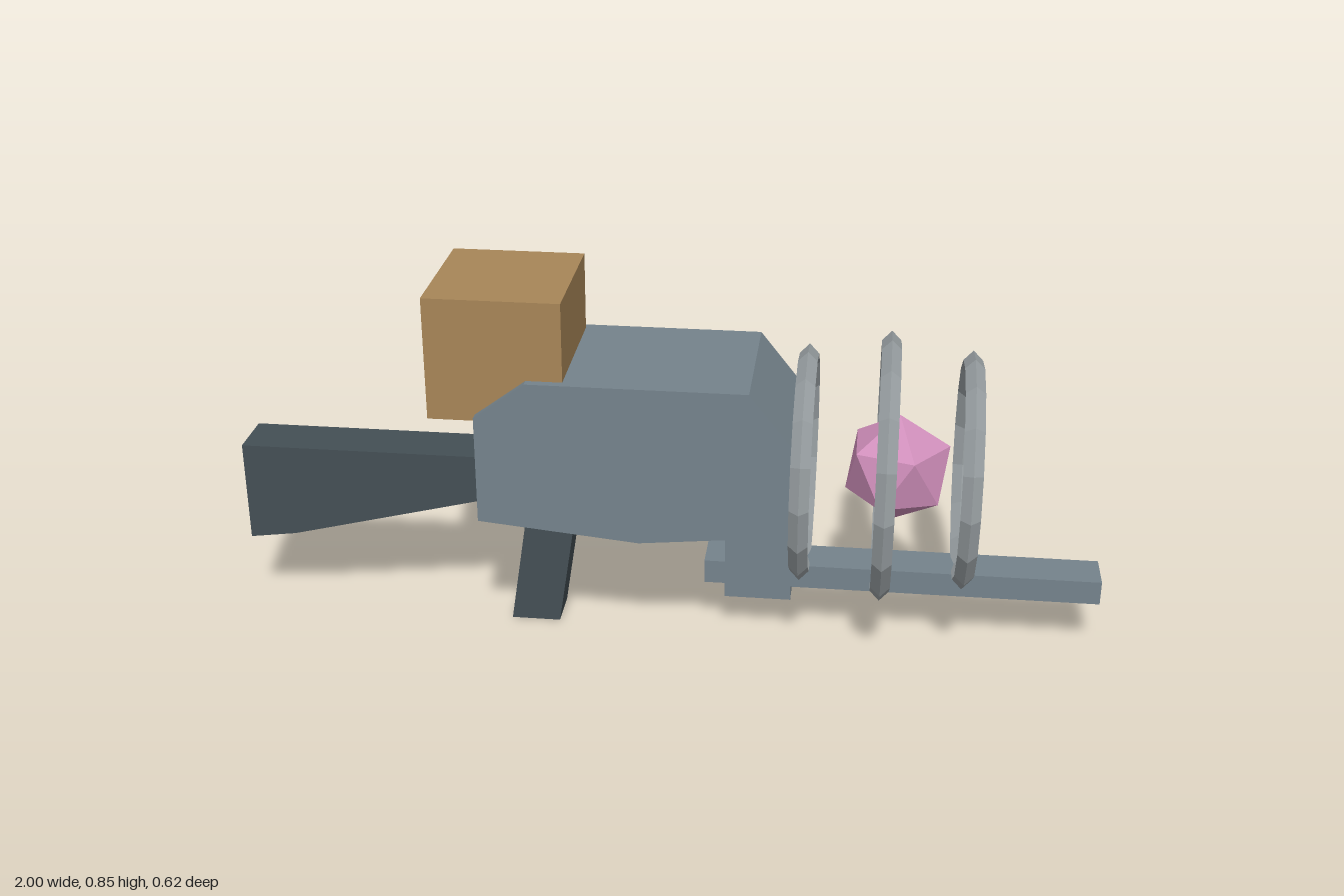
import * as THREE from 'three';

const paint = (color) => new THREE.MeshStandardMaterial({ color, flatShading: true });
const slate = paint(0x75838c);
const dark = paint(0x444f55);
const tan = paint(0xa88658);
const steel = paint(0x9ca3a6);
const pink = paint(0xd08fbb);

export function createModel() {
  const model = new THREE.Group();

  const add = (name, geometry, material, x = 0, y = 0, z = 0) => {
    const mesh = new THREE.Mesh(geometry, material);
    mesh.name = name;
    mesh.position.set(x, y, z);
    model.add(mesh);
    return mesh;
  };

  // Side profile in x, y extruded evenly about z = 0
  const slab = (name, points, width, material) => {
    const shape = new THREE.Shape(points.map(([x, y]) => new THREE.Vector2(x, y)));
    const geometry = new THREE.ExtrudeGeometry(shape, { depth: width, bevelEnabled: false });
    return add(name, geometry.translate(0, 0, -width / 2), material);
  };

  // Box given by its x and y limits
  const block = (name, x0, x1, y0, y1, width, material) =>
    add(name, new THREE.BoxGeometry(x1 - x0, y1 - y0, width), material, (x0 + x1) / 2, (y0 + y1) / 2);

  // Receiver, stock and grip
  slab('body', [[-0.417, 0.33], [-0.05, 0.295], [0.29, 0.33], [0.29, 0.55],
    [0.193, 0.672], [-0.3, 0.672], [-0.417, 0.585]], 0.37, slate);
  slab('stock', [[-1, 0.19], [-0.89, 0.205], [-0.39, 0.33], [-0.39, 0.43], [-1, 0.43]], 0.125, dark);
  slab('grip', [[-0.375, 0.002], [-0.26, 0.002], [-0.21, 0.33], [-0.325, 0.33]], 0.1, dark);

  // Trigger and its guard
  slab('triggerGuard', [[-0.23, 0.218], [-0.028, 0.218], [-0.016, 0.305], [-0.026, 0.305],
    [-0.037, 0.23], [-0.23, 0.23]], 0.03, dark);
  slab('trigger', [[-0.155, 0.265], [-0.146, 0.265], [-0.152, 0.315], [-0.166, 0.315]], 0.02, tan);

  // Crate on the rear of the body
  block('topBox', -0.525, -0.218, 0.57, 0.855, 0.33, tan);

  // Rail under the rings and the bracket that holds it
  block('railMount', 0.135, 0.29, 0.095, 0.335, 0.104, slate);
  block('rail', 0.087, 1, 0.13, 0.187, 0.103, slate);

  // Three diamond-section rings, the middle one larger
  [[0.31, 0.25], [0.495, 0.287], [0.68, 0.25]].forEach(([x, radius], i) => {
    const ring = new THREE.TorusGeometry(radius, 0.022, 4, 16).rotateY(Math.PI / 2);
    add(`ring${i + 1}`, ring, steel, x, 0.43);
  });

  // Crystal standing on a vertex
  const tilt = Math.atan(2 / (1 + Math.sqrt(5)));
  add('crystal', new THREE.IcosahedronGeometry(0.13).rotateZ(-tilt), pink, 0.522, 0.43);

  return model;
}
